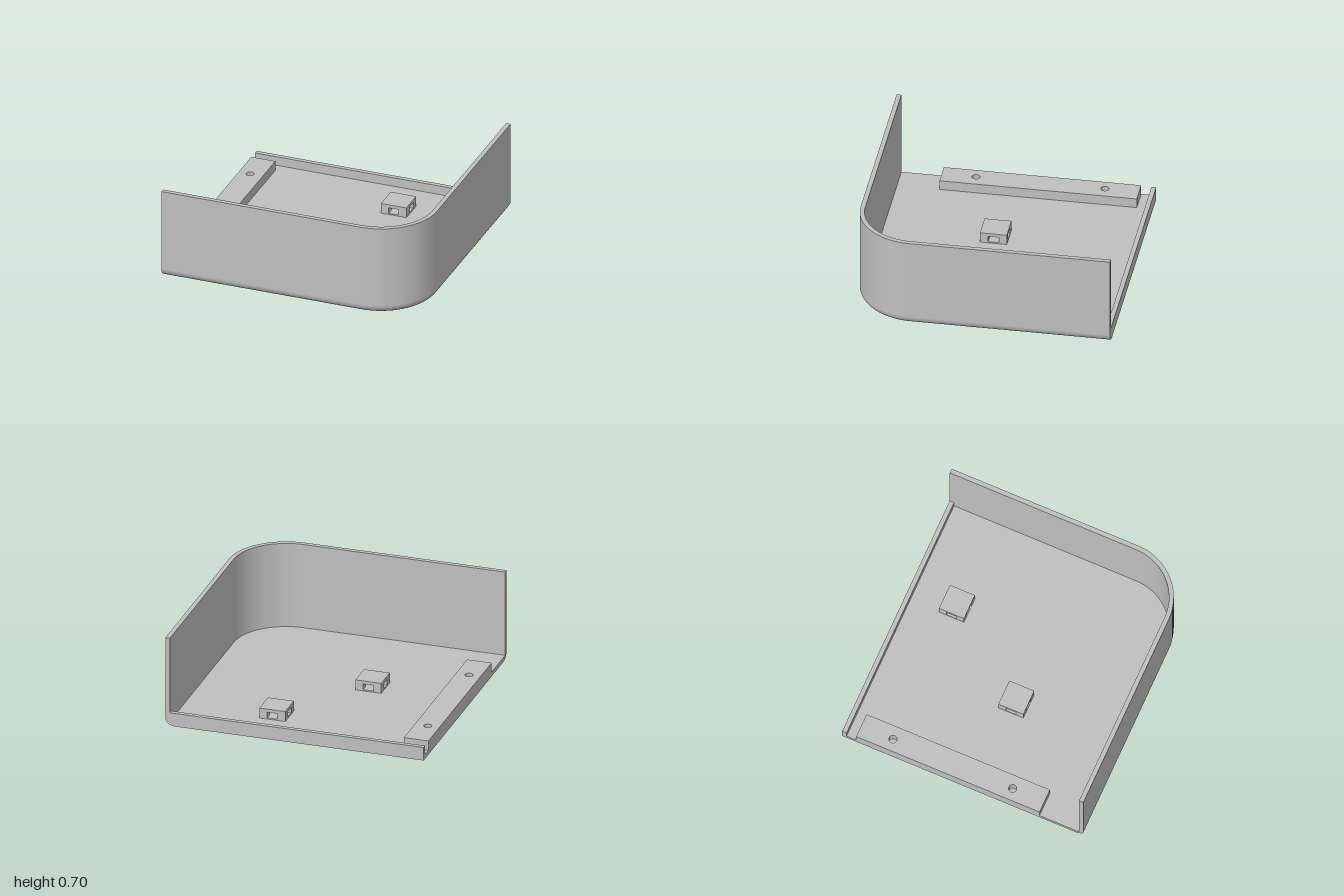
import * as THREE from 'three';

const X = 1, Z = 0.967, H = 0.705;      // half width, half depth, wall height
const R = 0.44, F = 0.07, T = 0.035;    // corner radius, bottom fillet, thickness
const LIP = 0.105, ARC = 24;

// Points and outward normals along the walled sides, inset by d
function outline(d) {
  const pts = [{ x: X - d, z: -Z, nx: 1, nz: 0 }];
  for (let i = 0; i <= ARC; i++) {
    const a = (i / ARC) * Math.PI / 2, nx = Math.cos(a), nz = Math.sin(a);
    pts.push({ x: X - R + (R - d) * nx, z: Z - R + (R - d) * nz, nx, nz });
  }
  pts.push({ x: -X, z: Z - d, nx: 0, nz: 1 });
  return pts;
}

// Sweeps profile points [inset, y, outward normal, up normal] along the outline
function sweep(profile) {
  const pos = [], nor = [], idx = [], m = ARC + 3;
  profile.forEach(([d, y, no, nu], j) => {
    outline(d).forEach((p, i) => {
      pos.push(p.x, y, p.z);
      nor.push(p.nx * no, nu, p.nz * no);
      if (j && i) {
        const a = (j - 1) * m + i - 1, b = a + m;
        idx.push(a, b, a + 1, a + 1, b, b + 1);
      }
    });
  });
  const g = new THREE.BufferGeometry();
  g.setAttribute('position', new THREE.Float32BufferAttribute(pos, 3));
  g.setAttribute('normal', new THREE.Float32BufferAttribute(nor, 3));
  g.setIndex(idx);
  return g;
}

export function createModel() {
  const model = new THREE.Group();
  model.name = 'cornerTray';
  const grey = new THREE.MeshStandardMaterial({ color: 0xbfbfbf });
  grey.name = 'grey plastic';

  const add = (name, geometry, parent = model) => {
    const mesh = new THREE.Mesh(geometry, grey);
    mesh.name = name;
    parent.add(mesh);
    return mesh;
  };
  const box = (name, x0, x1, y0, y1, z0, z1, parent) =>
    add(name, new THREE.BoxGeometry(x1 - x0, y1 - y0, z1 - z0), parent)
      .position.set((x0 + x1) / 2, (y0 + y1) / 2, (z0 + z1) / 2);
  // Extrudes a plan shape drawn in (x, -z) upward from y
  const slab = (name, shape, y, height) => {
    const g = new THREE.ExtrudeGeometry(shape, { depth: height, bevelEnabled: false, curveSegments: 24 });
    add(name, g.rotateX(-Math.PI / 2)).position.y = y;
  };

  // Walls with a rounded bottom edge
  const outer = [];
  for (let i = 0; i <= 10; i++) {
    const a = (i / 10) * Math.PI / 2;
    outer.push([F - F * Math.sin(a), F - F * Math.cos(a), Math.sin(a), -Math.cos(a)]);
  }
  outer.push([0, H, 1, 0]);
  add('outerWall', sweep(outer));
  add('wallRim', sweep([[0, H, 0, 1], [T, H, 0, 1]]));
  add('innerWall', sweep([[T, H, -1, 0], [T, T, -1, 0]]));
  add('floorBorder', sweep([[T, T, 0, 1], [F, T, 0, 1]]));

  // Flat cut ends of the walls
  const section = [...outer.map(p => [p[0], p[1]]), [T, H], [T, T], [F, T]];
  const cap = (edge, sign) => new THREE.ShapeGeometry(
    new THREE.Shape(section.map(([d, y]) => new THREE.Vector2(sign * (edge - d), y))));
  add('backWallEnd', cap(X, -1).rotateY(Math.PI)).position.z = -Z;
  add('rightWallEnd', cap(Z, 1).rotateY(-Math.PI / 2)).position.x = -X;

  // Floor
  const plan = outline(F).map(p => new THREE.Vector2(p.x, -p.z));
  plan.push(new THREE.Vector2(-X, Z));
  slab('floor', new THREE.Shape(plan), 0, T);

  // Low lip along the back
  box('backLip', -X, X - T, T, LIP, -Z, -Z + T);

  // Mounting rail with two screw holes
  const rail = new THREE.Shape([[-X, -0.615], [-0.81, -0.615], [-0.81, 0.855], [-X, 0.855]]
    .map(p => new THREE.Vector2(...p)));
  for (const z of [-0.6, 0.36]) {
    rail.holes.push(new THREE.Path().absarc(-0.91, -z, 0.03, 0, Math.PI * 2, true));
  }
  slab('mountingRail', rail, T, 0.075);

  // Tie blocks with crossing tunnels: four posts under a cap
  for (const [x, z] of [[0.26, -0.6], [-0.25, 0.1]]) {
    const block = new THREE.Group();
    block.name = 'tieBlock';
    block.position.set(x, 0, z);
    model.add(block);
    box('tieBlockCap', -0.1, 0.1, 0.09, 0.115, -0.1, 0.1, block);
    box('tieBlockBase', -0.1, 0.1, T, 0.045, -0.1, 0.1, block);
    for (const sx of [-1, 1]) for (const sz of [-1, 1]) {
      const px = sx * 0.07, pz = sz * 0.07;
      box('tieBlockPost', px - 0.03, px + 0.03, 0.045, 0.09, pz - 0.03, pz + 0.03, block);
    }
  }
  return model;
}
